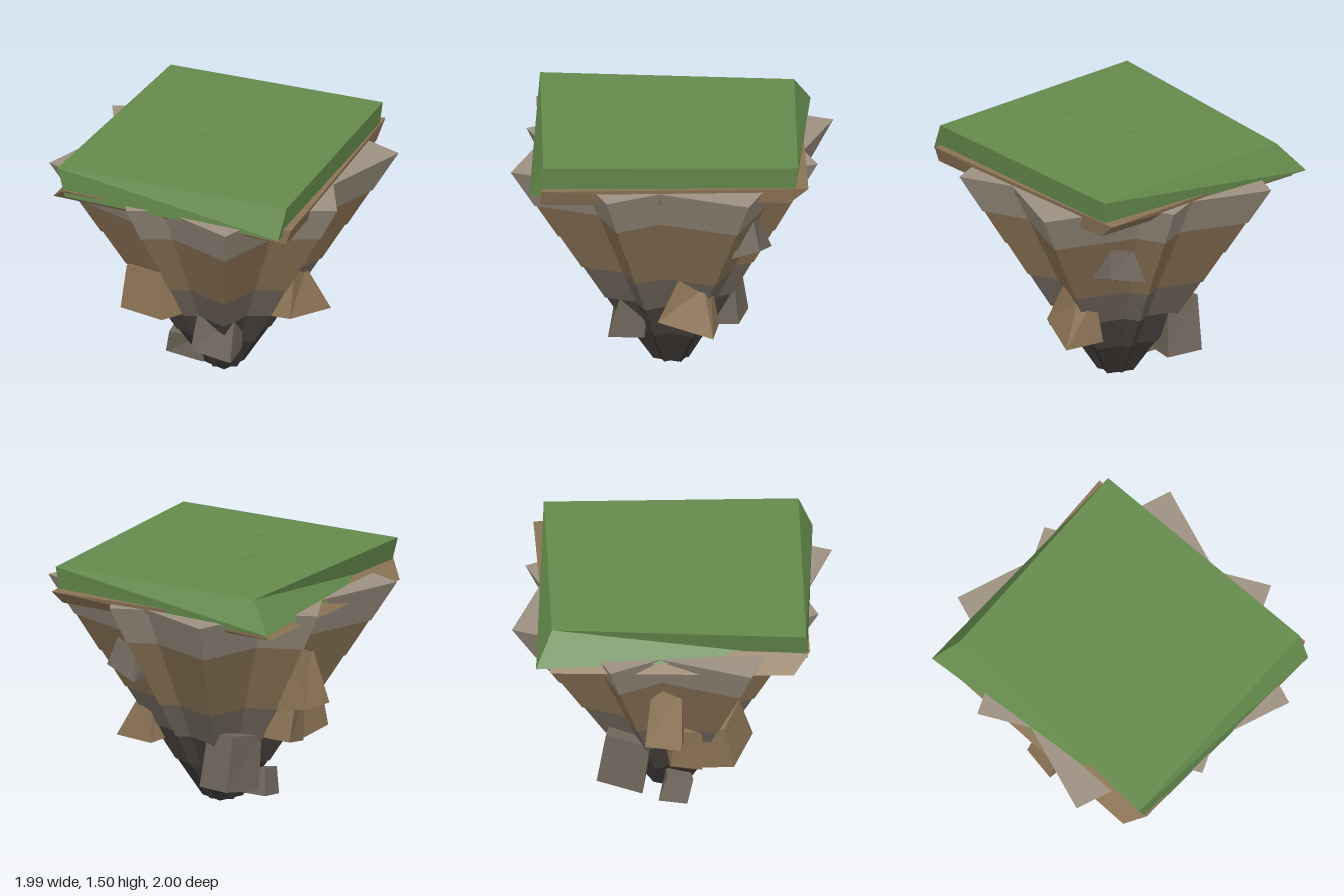
import * as THREE from 'three';

const mat = (name, color) => {
  const m = new THREE.MeshStandardMaterial({ color });
  m.name = name;
  return m;
};

// Four-sided block between two rings of [x, z] corners (ordered from +x towards +z)
function block(bottom, top, y0, y1) {
  const b = bottom.map(([x, z]) => [x, y0, z]);
  const t = top.map(([x, z]) => [x, y1, z]);
  const pos = [];
  const quad = (p, q, r, s) => pos.push(...p, ...q, ...r, ...p, ...r, ...s);
  for (let i = 0; i < 4; i++) {
    const j = (i + 1) % 4;
    quad(b[i], t[i], t[j], b[j]);
  }
  quad(t[0], t[3], t[2], t[1]);
  quad(b[0], b[1], b[2], b[3]);
  const g = new THREE.BufferGeometry();
  g.setAttribute('position', new THREE.Float32BufferAttribute(pos, 3));
  g.computeVertexNormals();
  return g;
}

// Faceted boulder: a box with a scaled top and slightly shifted corners
function boulder([w, h, d], topScale, seed) {
  const g = new THREE.BoxGeometry(w, h, d).toNonIndexed();
  const p = g.attributes.position;
  const noise = (k) => {
    const s = Math.sin(k * 12.9898 + seed * 78.233) * 43758.5453;
    return (s - Math.floor(s) - 0.5) * 0.04;
  };
  for (let i = 0; i < p.count; i++) {
    const x = p.getX(i), y = p.getY(i), z = p.getZ(i);
    const k = (x > 0 ? 1 : 0) + (y > 0 ? 2 : 0) + (z > 0 ? 4 : 0);
    const s = y > 0 ? topScale : 1;
    p.setXYZ(i, x * s + noise(k), y + noise(k + 10), z * s + noise(k + 20));
  }
  g.computeVertexNormals();
  return g;
}

export function createModel() {
  const root = new THREE.Group();
  root.name = 'floatingIsland';

  const grass = mat('grass', 0x648a4c);
  const soil = mat('soil', 0x8b7355);
  const paleStone = mat('paleStone', 0x9c9080);
  const greyStone = mat('greyStone', 0x70675c);
  const darkStone = mat('darkStone', 0x4a4540);
  const deepStone = mat('deepStone', 0x3a3633);

  const add = (name, geometry, material, parent = root) => {
    const m = new THREE.Mesh(geometry, material);
    m.name = name;
    parent.add(m);
    return m;
  };

  // Tapering rock body: each layer is a square block crossed with a diamond block
  const square = [[0.71, 0.75], [-0.71, 0.75], [-0.71, -0.75], [0.71, -0.75]];
  const diamond = [[0.96, 0.05], [0.05, 0.9], [-0.95, -0.05], [-0.05, -0.9]];
  const levels = [0, 0.22, 0.44, 0.66, 0.88, 1.1, 1.34];
  const layerColors = [deepStone, darkStone, greyStone, soil, soil, paleStone];
  const scaleAt = (y) => 0.115 + 0.885 * y / 1.34;
  const ring = (pts, f) => pts.map(([x, z]) => [x * f + 0.02, z * f]);
  layerColors.forEach((material, i) => {
    const layer = new THREE.Group();
    layer.name = 'rockLayer' + (i + 1);
    root.add(layer);
    const [y0, y1] = [levels[i], levels[i + 1]];
    const low = scaleAt(y0) + (i ? 0.01 : 0);
    const high = scaleAt(y1);
    add('squareBlock', block(ring(square, low), ring(square, high), y0, y1), material, layer);
    add('diamondBlock', block(ring(diamond, low), ring(diamond, high), y0, y1), material, layer);
  });

  // Turned soil slab under the grass
  add('soilSlab', block(
    [[0.96, 0.47], [-0.48, 0.94], [-0.94, -0.42], [0.42, -0.89]],
    [[0.99, 0.46], [-0.35, 0.995], [-0.85, -0.48], [0.39, -1.0]],
    1.265, 1.362), soil);

  // Grass slab with uneven corners
  add('grassSlab', block(
    [[0.965, 0.545], [-0.35, 0.98], [-1.0, -0.49], [0.41, -0.92]],
    [[0.955, 0.46], [-0.4, 0.99], [-0.83, -0.45], [0.42, -0.945]],
    1.318, 1.497), grass);

  // Small tufts barely breaking the grass surface
  [[-0.11, 0.05, 0.1], [0.16, 0.39, 0.05]].forEach(([x, z, s]) => {
    const tuft = add('grassTuft', new THREE.BoxGeometry(s, 0.006, s), grass);
    tuft.position.set(x, 1.497, z);
    tuft.rotation.y = 0.35;
  });

  // Boulders set into the sides: name, material, centre, size, rotation, top scale
  [
    ['frontBoulder', soil, [-0.18, 0.55, 0.38], [0.31, 0.28, 0.22], [-0.15, -0.1, 0.15], 0.9],
    ['frontLowBoulder', greyStone, [0.17, 0.325, 0.21], [0.28, 0.27, 0.2], [-0.1, 0.35, -0.05], 0.8],
    ['footBoulder', greyStone, [-0.17, 0.12, 0.1], [0.23, 0.14, 0.17], [0.1, 0.3, -0.15], 0.85],
    ['rightBoulder', soil, [-0.5, 0.83, 0.14], [0.2, 0.37, 0.22], [0, 0.2, -0.2], 0.8],
    ['rightSmallBoulder', soil, [-0.31, 0.52, 0.2], [0.17, 0.26, 0.2], [0.1, 0.4, 0.1], 0.9],
    ['rightLowBoulder', greyStone, [-0.28, 0.31, -0.18], [0.23, 0.34, 0.28], [0.15, 0.15, -0.08], 0.85],
    ['backBoulder', greyStone, [0.2, 0.91, -0.54], [0.24, 0.19, 0.18], [0.25, 0.2, 0.1], 0.7],
    ['leftBoulder', soil, [0.35, 0.5, -0.26], [0.23, 0.27, 0.33], [-0.12, 0.1, 0.1], 0.45],
  ].forEach(([name, material, centre, size, turn, topScale], i) => {
    const m = add(name, boulder(size, topScale, i + 1), material);
    m.position.set(...centre);
    m.rotation.set(...turn);
  });

  return root;
}
